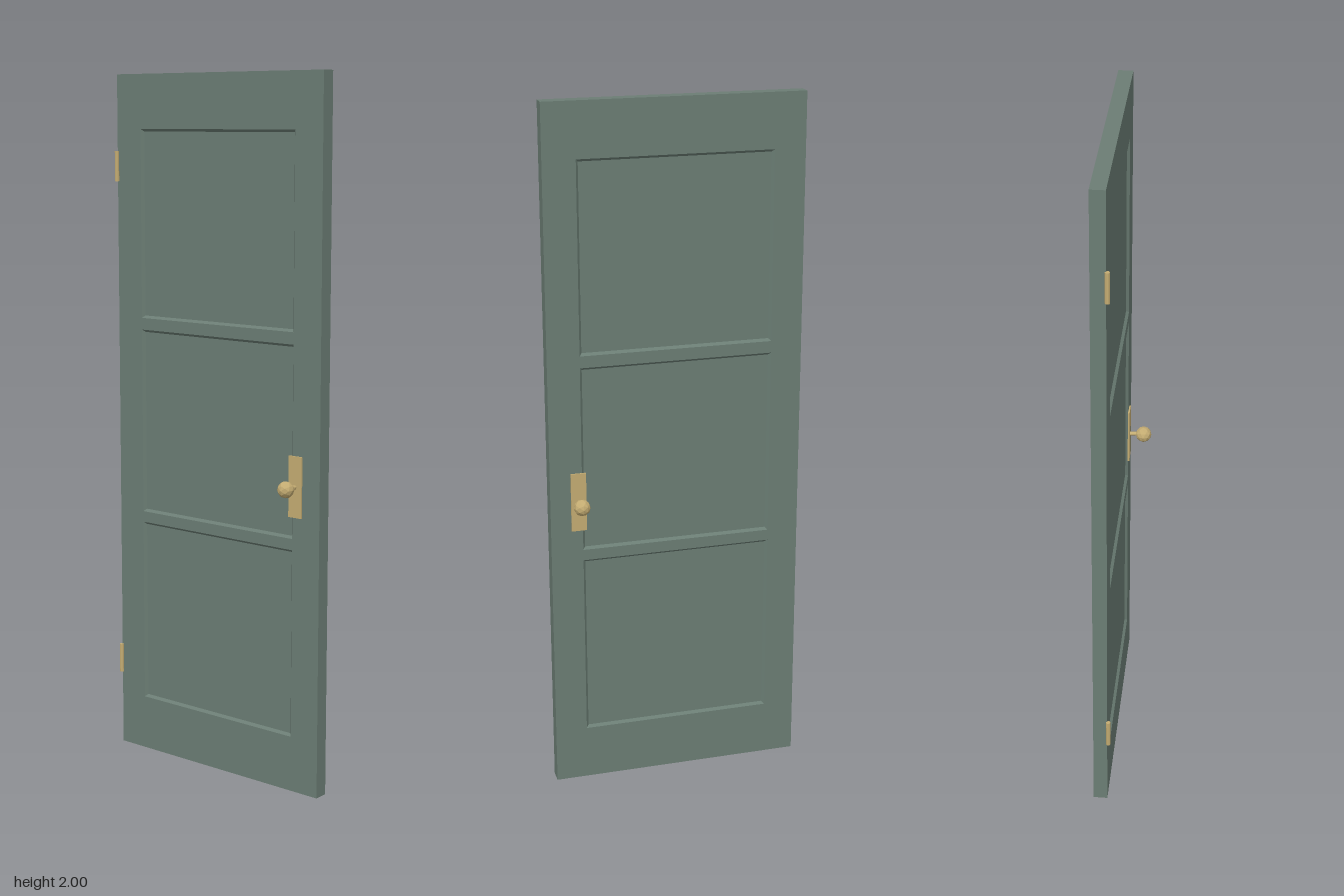
import * as THREE from 'three';

const paint = new THREE.MeshStandardMaterial({ color: 0x6b7d74 });
paint.name = 'sage paint';
const brass = new THREE.MeshStandardMaterial({ color: 0xc4ac72 });
brass.name = 'brass';

const DOOR = { left: -0.364, right: 0.369, height: 2, z: -0.0015, half: 0.0205 };
const OPEN = { left: -0.275, right: 0.277, rows: [[0.16, 0.70], [0.732, 1.272], [1.306, 1.846]] };
const BEVEL = 0.007, RECESS = 0.008;

function add(parent, name, geometry, material, x = 0, y = 0, z = 0) {
  const mesh = new THREE.Mesh(geometry, material);
  mesh.name = name;
  mesh.position.set(x, y, z);
  parent.add(mesh);
  return mesh;
}

function rectangle(path, l, r, b, t) {
  path.moveTo(l, b).lineTo(r, b).lineTo(r, t).lineTo(l, t).closePath();
  return path;
}

// Sloping moulding from the opening edge down to the recessed panel
function mouldingGeometry(w, h) {
  const corners = [[-1, -1], [1, -1], [1, 1], [-1, 1]];
  const outer = corners.map(([x, y]) => [x * w / 2, y * h / 2, DOOR.half]);
  const inner = corners.map(([x, y]) => [x * (w / 2 - BEVEL), y * (h / 2 - BEVEL), DOOR.half - RECESS]);
  const points = [];
  for (let i = 0; i < 4; i++) {
    const j = (i + 1) % 4;
    points.push(...outer[i], ...outer[j], ...inner[j], ...outer[i], ...inner[j], ...inner[i]);
  }
  const geometry = new THREE.BufferGeometry();
  geometry.setAttribute('position', new THREE.Float32BufferAttribute(points, 3));
  geometry.computeVertexNormals();
  return geometry;
}

export function createModel() {
  const door = new THREE.Group();
  door.name = 'door';

  // Stiles and rails in one frame with three openings
  const outline = rectangle(new THREE.Shape(), DOOR.left, DOOR.right, 0, DOOR.height);
  for (const [b, t] of OPEN.rows) outline.holes.push(rectangle(new THREE.Path(), OPEN.left, OPEN.right, b, t));
  const frame = new THREE.ExtrudeGeometry(outline, { depth: DOOR.half * 2, bevelEnabled: false });
  add(door, 'frame', frame, paint, 0, 0, DOOR.z - DOOR.half);

  // Recessed panels with mouldings on both faces
  const cx = (OPEN.left + OPEN.right) / 2, w = OPEN.right - OPEN.left;
  for (const [b, t] of OPEN.rows) {
    const cy = (b + t) / 2, h = t - b;
    const thickness = 2 * (DOOR.half - RECESS);
    add(door, 'panel', new THREE.BoxGeometry(w, h, thickness), paint, cx, cy, DOOR.z);
    const moulding = mouldingGeometry(w, h);
    add(door, 'frontMoulding', moulding, paint, cx, cy, DOOR.z);
    add(door, 'backMoulding', moulding, paint, cx, cy, DOOR.z).rotation.y = Math.PI;
  }

  // Plate, spindle and faceted knob on each face
  const facetedBrass = brass;
  facetedBrass.flatShading = true;
  for (const side of [1, -1]) {
    const handle = new THREE.Group();
    handle.name = side > 0 ? 'frontHandle' : 'backHandle';
    handle.position.set(0.288, 0.88, DOOR.z);
    if (side < 0) handle.rotation.y = Math.PI;
    add(handle, 'plate', new THREE.BoxGeometry(0.044, 0.172, 0.005), brass, 0, 0, 0.0225);
    const spindle = new THREE.CylinderGeometry(0.006, 0.006, 0.035, 10);
    add(handle, 'spindle', spindle, brass, 0, 0, 0.038).rotation.x = Math.PI / 2;
    add(handle, 'knob', new THREE.IcosahedronGeometry(0.0237, 1), facetedBrass, 0, 0, 0.066);
    door.add(handle);
  }

  // Hinge barrels on the front left edge
  for (const y of [0.265, 1.74]) {
    add(door, 'hinge', new THREE.CylinderGeometry(0.0065, 0.0065, 0.086, 10), brass, -0.3645, y, 0.022);
  }
  return door;
}
